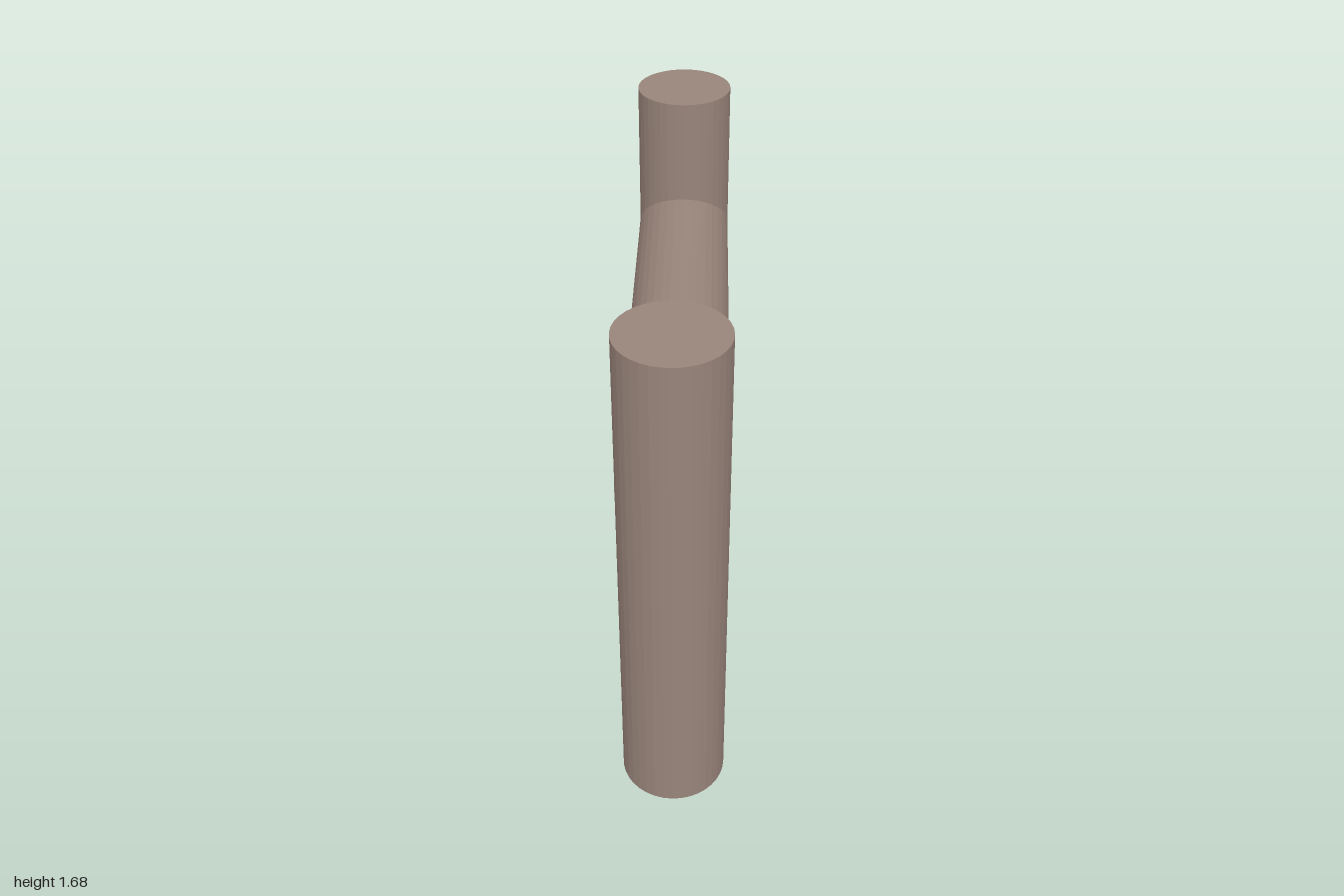
import * as THREE from 'three';

export function createModel() {
  const group = new THREE.Group();
  const wood = new THREE.MeshStandardMaterial({ color: 0x98847a, flatShading: true });
  wood.name = 'brownWood';

  const radius = 0.167, height = 1.685, postZ = 0.833, sides = 36;

  const addLog = (name, length) => {
    const log = new THREE.Mesh(new THREE.CylinderGeometry(radius, radius, length, sides), wood);
    log.name = name;
    group.add(log);
    return log;
  };

  // Upright posts, front and back
  for (const [name, side] of [['frontPost', 1], ['backPost', -1]]) {
    addLog(name, height).position.set(0, height / 2, side * postZ);
  }

  // Crossbar, its ends buried in the posts, slightly higher at the front
  const bar = addLog('crossbar', 1.7);
  bar.position.y = 1.156;
  bar.rotation.x = Math.PI / 2 - 0.009;

  return group;
}
